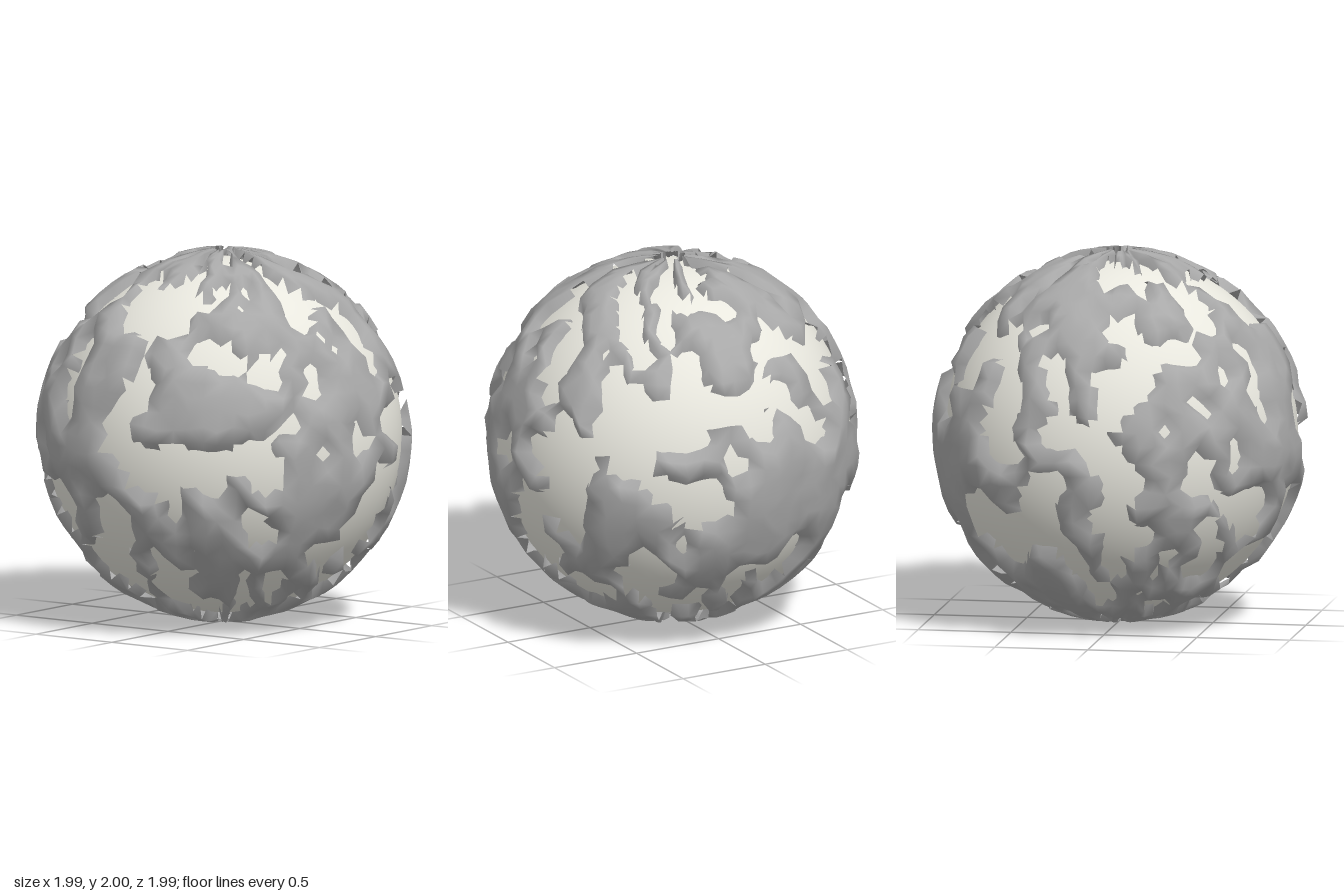
import * as THREE from 'three';

const SEGS = 72, RINGS = 36;      // crust grid
const CORE = 0.945;               // radius of the smooth inner ball

// Repeatable hash in 0..1
function hash(a, b) {
  let n = Math.imul(a + 17, 374761393) ^ Math.imul(b + 41, 668265263);
  n = Math.imul(n ^ (n >>> 13), 1274126177);
  n = Math.imul(n ^ (n >>> 15), 2246822519);
  return ((n ^ (n >>> 16)) >>> 0) / 4294967296;
}

// Smooth value noise that wraps around the ball's girth
function noise(u, v, cols, rows) {
  const x = u * cols, y = v * rows, i = Math.floor(x), j = Math.floor(y);
  const ease = t => t * t * (3 - 2 * t);
  const fx = ease(x - i), fy = ease(y - j);
  const at = (a, b) => hash(((a % cols) + cols) % cols, b + cols * 7);
  const { lerp } = THREE.MathUtils;
  return lerp(lerp(at(i, j), at(i + 1, j), fx), lerp(at(i, j + 1), at(i + 1, j + 1), fx), fy);
}

// Height of the crust: winding ridges that drop steeply below the core
function crustRadius(u, v) {
  const n = 0.85 * noise(u - v * 0.15, v, 46, 20) + 0.15 * noise(u, v, 64, 32);
  const t = THREE.MathUtils.smoothstep(n, 0.33, 0.52);
  const roll = 0.035 * noise(u, v, 46, 24);
  return Math.min(1, 0.88 + 0.1 * t + roll);
}

function buildCrust() {
  const pos = [], radii = [], index = [];
  // the rings stop short of the poles, leaving a small bare cap at each
  for (let j = 0; j <= RINGS; j++) {
    for (let i = 0; i < SEGS; i++) {
      const r = crustRadius(i / SEGS, j / RINGS);
      // wander keeps the broken edges irregular
      const theta = (i + 0.4 * (hash(i, j + 300) - 0.5)) / SEGS * Math.PI * 2;
      const phi = 0.07 + (Math.PI - 0.14) * (j + 0.4 * (hash(i, j + 600) - 0.5)) / RINGS;
      pos.push(r * Math.sin(phi) * Math.sin(theta), r * Math.cos(phi), r * Math.sin(phi) * Math.cos(theta));
      radii.push(r);
    }
  }
  for (let j = 0; j < RINGS; j++) {
    for (let i = 0; i < SEGS; i++) {
      const k = (i + 1) % SEGS;
      const a = j * SEGS + i, b = j * SEGS + k, c = a + SEGS, d = b + SEGS;
      // drop whole sunken cells, leaving torn edges standing off the core
      const mean = (radii[a] + radii[b] + radii[c] + radii[d]) / 4;
      if (mean < CORE - 0.002) continue;
      // split each cell along its flatter diagonal
      if (Math.abs(radii[a] - radii[d]) < Math.abs(radii[b] - radii[c])) index.push(a, d, b, a, c, d);
      else index.push(a, c, b, b, c, d);
    }
  }
  const geo = new THREE.BufferGeometry();
  geo.setAttribute('position', new THREE.Float32BufferAttribute(pos, 3));
  geo.setIndex(index);
  geo.computeVertexNormals();
  return geo;
}

export function createModel() {
  const model = new THREE.Group();
  model.name = 'crackedGlobe';

  // Smooth pale ball showing through the gaps
  const core = new THREE.Mesh(
    new THREE.SphereGeometry(CORE, 64, 40),
    new THREE.MeshStandardMaterial({ color: 0xe8e7de }));
  core.name = 'innerBall';

  // Ragged raised crust
  const crust = new THREE.Mesh(
    buildCrust(),
    new THREE.MeshStandardMaterial({ color: 0xa8a8a8, side: THREE.DoubleSide }));
  crust.name = 'crust';

  core.position.y = crust.position.y = 1;
  model.add(core, crust);
  return model;
}
